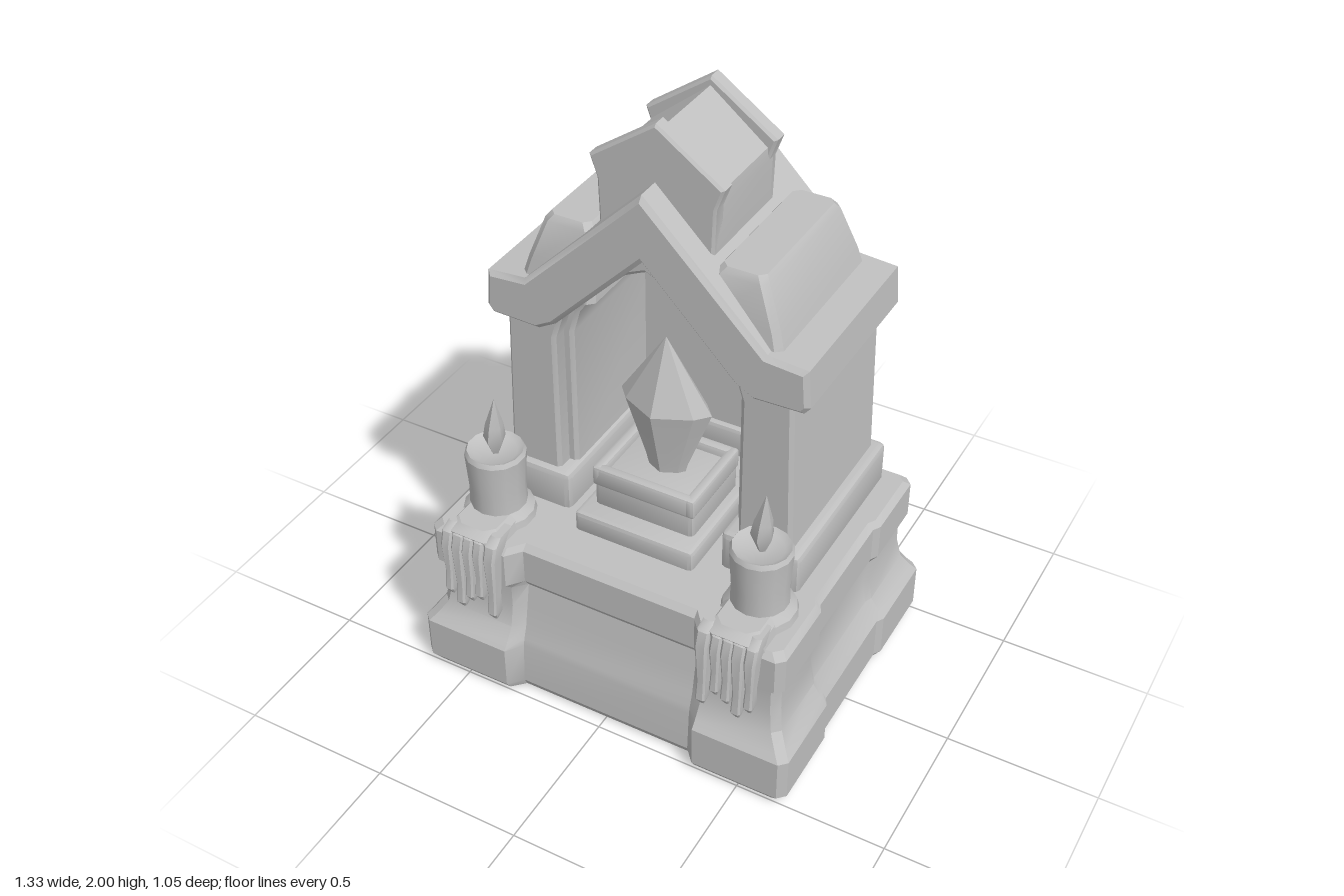
import * as THREE from 'three';
import { toCreasedNormals } from 'three/addons/utils/BufferGeometryUtils.js';
import { RoundedBoxGeometry } from 'three/addons/geometries/RoundedBoxGeometry.js';

const stone = new THREE.MeshStandardMaterial({ color: 0xbfbfbf, side: THREE.DoubleSide });
stone.name = 'grey stone';

// Skin a stack of horizontal rings (listed from the front round by +x), bottom to top
function loft(rings, capBottom = true) {
  const pos = [], n = rings[0].length;
  const tri = (a, b, c) => pos.push(...a, ...b, ...c);
  const centre = (r) => [0, 1, 2].map((k) => r.reduce((s, p) => s + p[k], 0) / n);
  for (let j = 0; j < n; j++) {
    const k = (j + 1) % n;
    for (let i = 0; i + 1 < rings.length; i++) {
      const a = rings[i], b = rings[i + 1];
      tri(a[j], a[k], b[k]);
      tri(a[j], b[k], b[j]);
    }
    const top = rings[rings.length - 1];
    tri(centre(top), top[j], top[k]);
    if (capBottom) tri(centre(rings[0]), rings[0][k], rings[0][j]);
  }
  const g = new THREE.BufferGeometry();
  g.setAttribute('position', new THREE.Float32BufferAttribute(pos, 3));
  g.computeVertexNormals();
  return g;
}

// Rectangular ring with cut corners
const rect = (y, x0, x1, z0, z1, c = 0.02) => [
  [x0 + c, y, z1], [x1 - c, y, z1], [x1, y, z1 - c], [x1, y, z0 + c],
  [x1 - c, y, z0], [x0 + c, y, z0], [x0, y, z0 + c], [x0, y, z1 - c]];

// Mirrored outline from its right half, listed from the bottom or middle
const mirrorX = (pts) => pts.filter((p) => p[0] !== 0).map(([x, y]) => [-x, y]).reverse();

// Extrude an outline between two z positions with softened edges
function slab(pts, z0, z1, bevel = 0.015) {
  const shape = new THREE.Shape(pts.map(([x, y]) => new THREE.Vector2(x, y)));
  const g = new THREE.ExtrudeGeometry(shape, {
    depth: z1 - z0 - 2 * bevel, bevelEnabled: bevel > 0, bevelThickness: bevel,
    bevelSize: bevel, bevelOffset: -bevel, bevelSegments: 1,
  });
  return g.translate(0, 0, z0 + bevel);
}

// Half outline of the pointed opening, from floor to apex
const archHalf = (w, apex) => [[w, 0.62], [w, 1.22], [w * 0.92, 1.3], [w * 0.72, apex - 0.15],
  [w * 0.36, apex - 0.05], [0, apex]];

// Wall with the pointed opening cut out of its underside
function archWall(outer, w, apex, z0, z1) {
  const inner = archHalf(w, apex);
  return slab([...outer, ...mirrorX(outer), ...mirrorX(inner).reverse(), ...inner.reverse()]
    , z0, z1, 0.012);
}

export function createModel() {
  const model = new THREE.Group();
  model.name = 'shrine';
  const add = (name, g, crease = 0.5) => {
    const m = new THREE.Mesh(toCreasedNormals(g, crease), stone);
    m.name = name;
    model.add(m);
    return m;
  };
  const box = (name, x0, x1, y0, y1, z0, z1, r = 0.015) => add(name,
    new RoundedBoxGeometry(x1 - x0, y1 - y0, z1 - z0, 1, r)
      .translate((x0 + x1) / 2, (y0 + y1) / 2, (z0 + z1) / 2));

  // Base: corner posts standing out from the walls between; hollow underneath
  // y, corner x, side wall x, front corner, front wall, back corner, back wall
  const levels = [
    [0.0, 0.64, 0.63, 0.49, 0.45, -0.5, -0.46],
    [0.03, 0.665, 0.65, 0.51, 0.465, -0.525, -0.475],
    [0.18, 0.665, 0.65, 0.51, 0.455, -0.525, -0.47],
    [0.205, 0.645, 0.635, 0.49, 0.45, -0.51, -0.465],
    [0.25, 0.615, 0.605, 0.46, 0.435, -0.49, -0.455],
    [0.33, 0.602, 0.59, 0.445, 0.42, -0.475, -0.44],
    [0.41, 0.602, 0.59, 0.445, 0.405, -0.472, -0.435],
    [0.44, 0.625, 0.61, 0.475, 0.425, -0.49, -0.455],
    [0.565, 0.625, 0.61, 0.475, 0.425, -0.49, -0.455],
    [0.585, 0.605, 0.59, 0.455, 0.405, -0.47, -0.435],
  ];
  add('base', loft(levels.map(([y, cx, mx, zf, mf, zb, mb]) => {
    const half = [[0.305, mf], [0.345, zf], [cx - 0.025, zf], [cx, zf - 0.025], [cx, 0.215], [mx, 0.19],
      [mx, -0.2], [cx, -0.225], [cx, zb + 0.025], [cx - 0.025, zb], [0.345, zb], [0.305, mb]];
    return [...half, ...mirrorX(half)].map(([x, z]) => [x, y, z]);
  }), false));

  // House walls, inner lining and closed back
  const outer = [[0.5, 0.62], [0.48, 1.3], [0.36, 1.42], [0, 1.74]];
  add('houseWalls', archWall(outer, 0.315, 1.555, -0.42, 0.175));
  add('archLining', archWall([[0.36, 0.62], [0.36, 1.3], [0.3, 1.4], [0, 1.65]], 0.285, 1.53, -0.38, 0.12));
  const panel = archHalf(0.32, 1.56);
  add('backPanel', slab([...panel, ...mirrorX(panel)], -0.35, -0.32, 0));
  box('backSill', -0.3, 0.3, 0.57, 0.69, -0.42, -0.3);

  // Gable roof with flat eaves
  const top = [[0.54, 1.285], [0.53, 1.41], [0.4, 1.42], [0, 1.82]];
  const under = [[0, 1.6], [0.3, 1.29], [0.36, 1.255], [0.52, 1.26]];
  add('roof', slab([...top, ...mirrorX(top), ...mirrorX(under), ...under], -0.435, 0.2, 0.015));

  // Ridge cap: two end ribs with a lower saddle between
  const cap = (d) => {
    const h = [[0.185, 1.62], [0.19, 1.78], [0.215 - d, 1.85 - d], [0, 2 - d]];
    return [...h, ...mirrorX(h)];
  };
  add('capSaddle', slab(cap(0.028), -0.24, 0.09, 0));
  for (const z of [-0.265, 0.055]) add('capRib', slab(cap(0), z, z + 0.055, 0.008));

  for (const s of [-1, 1]) {
    const span = (a, b) => (s > 0 ? [a, b] : [-b, -a]);
    // Plinth under each wall
    box('wallPlinth', ...span(0.27, 0.535), 0.56, 0.72, -0.45, 0.2, 0.02);
    // Sloped block on each side of the roof
    add('roofBlock', loft([
      rect(1.38, ...span(0.18, 0.44), -0.41, 0.17),
      rect(1.47, ...span(0.18, 0.415), -0.395, 0.155),
      rect(1.605, ...span(0.2, 0.365), -0.365, 0.135),
      rect(1.625, ...span(0.215, 0.35), -0.35, 0.12)]));
    // Raised face on the outer wall
    const face = box('wallFace', -0.008, 0.008, 0.76, 1.19, -0.24, 0.05, 0.004);
    face.position.x = s * 0.49;
    face.rotation.z = s * 0.03;
    face.position.y = 0.005;

    // Candle, its wax pool and flame
    const x = s * 0.465, z = 0.31;
    const lathe = [[0, 0.58], [0.12, 0.585], [0.115, 0.61], [0.092, 0.635], [0.09, 0.7], [0.098, 0.825],
      [0.09, 0.84], [0.07, 0.828], [0, 0.822]].map((p) => new THREE.Vector2(...p));
    add('candle', new THREE.LatheGeometry(lathe, 14)).position.set(x, 0, z);
    const ring = ([y, r, dx]) => Array.from({ length: 5 }, (_, i) => {
      const a = (i / 5) * Math.PI * 2;
      return [Math.sin(a) * r + dx, y, Math.cos(a) * r];
    });
    add('flame', loft([[0.82, 0.012, 0], [0.88, 0.037, 0], [0.93, 0.03, 0.003], [1.03, 0.001, 0.008]].map(ring)))
      .position.set(x, 0, z);
    add('waxPool', loft([
      rect(0.575, ...span(0.36, 0.56), 0.27, 0.49, 0.03),
      rect(0.615, ...span(0.37, 0.55), 0.28, 0.5, 0.03),
      rect(0.635, ...span(0.39, 0.53), 0.3, 0.47, 0.03)]));

    // Wax drips hanging over the front edge
    for (const [dx, w, y] of [[0.375, 0.022, 0.31], [0.42, 0.019, 0.37], [0.458, 0.02, 0.35], [0.495, 0.022, 0.31], [0.535, 0.02, 0.35]]) {
      const bar = (yy, k, z0, z1) => rect(yy, s * dx - w * k, s * dx + w * k, z0, z1, 0.008 * k);
      add('waxDrip', loft([
        bar(y, 0.3, 0.49, 0.503), bar(y + 0.03, 0.75, 0.477, 0.522), bar(y + 0.1, 0.65, 0.475, 0.515),
        bar(0.56, 1, 0.46, 0.52), bar(0.61, 1, 0.43, 0.505), bar(0.63, 0.8, 0.4, 0.47)]));
    }
  }

  // Altar: step, block and raised rim
  box('altarStep', -0.21, 0.21, 0.57, 0.655, -0.14, 0.27);
  box('altarBlock', -0.175, 0.175, 0.64, 0.77, -0.1, 0.2);
  for (const z of [-0.1, 0.17]) box('altarRim', -0.18, 0.18, 0.73, 0.8, z, z + 0.035, 0.01);
  for (const x of [-0.18, 0.145]) box('altarRim', x, x + 0.035, 0.73, 0.8, -0.1, 0.205, 0.01);

  // Faceted crystal
  const hex = (y, k) => [[-0.118, 0.045], [0, 0.1], [0.118, 0.045], [0.158, 0], [0.118, -0.045], [0, -0.1], [-0.118, -0.045], [-0.158, 0]]
    .map(([x, z]) => [x * k, y, z * k]);
  add('crystal', loft([hex(0.75, 0.4), hex(0.8, 0.48), hex(1.02, 1), hex(1.26, 0.01)]), 0.2)
    .position.z = 0.05;

  return model;
}
